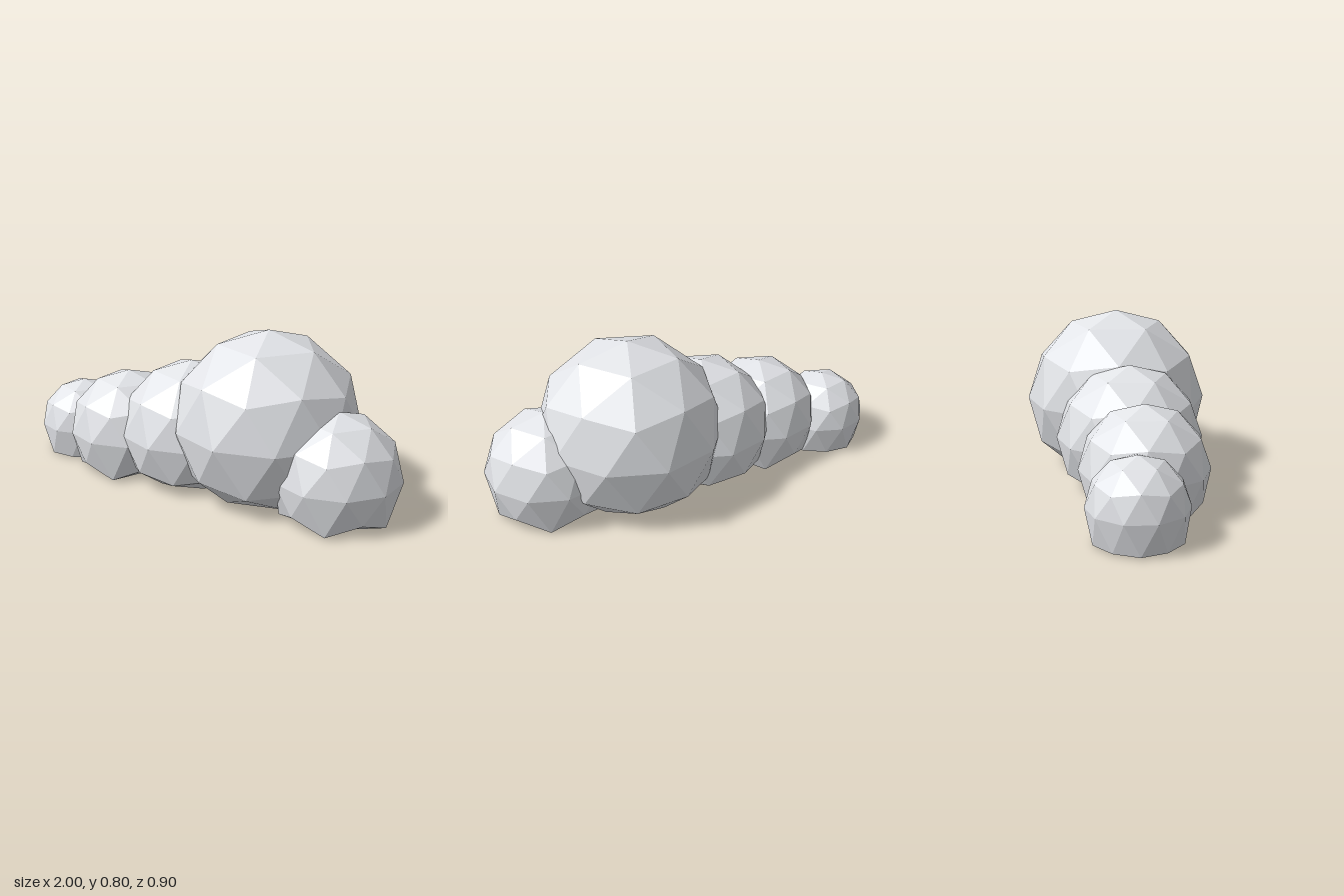
import * as THREE from 'three';

// Faceted ball standing on a vertex, with its underside pressed flat
function puffGeometry(radius, centreY) {
  const geometry = new THREE.IcosahedronGeometry(radius, 1);
  geometry.rotateZ(-Math.atan(2 / (1 + Math.sqrt(5))));
  geometry.translate(0, centreY, 0);
  const p = geometry.attributes.position;
  for (let i = 0; i < p.count; i++) {
    const y = p.getY(i);
    if (y < 0.05) p.setY(i, 0.005 + 0.05 * y);
  }
  geometry.computeVertexNormals();
  return geometry;
}

export function createModel() {
  const cloud = new THREE.Group();
  cloud.name = 'cloud';

  const cloudGrey = new THREE.MeshStandardMaterial({ color: 0xe4e6ea });
  cloudGrey.name = 'cloudGrey';
  cloudGrey.flatShading = true;

  // Overlapping puffs: name, x, centre height, z, radius
  const puffs = [
    ['tailPuff', -0.785, 0.15, 0.05, 0.225],
    ['smallPuff', -0.435, 0.2, 0.1, 0.3],
    ['middlePuff', -0.085, 0.25, 0.05, 0.35],
    ['largePuff', 0.315, 0.35, 0, 0.45],
    ['endPuff', 0.715, 0.2, 0.05, 0.3],
  ];
  for (const [name, x, y, z, radius] of puffs) {
    const puff = new THREE.Mesh(puffGeometry(radius, y), cloudGrey);
    puff.name = name;
    puff.position.set(x, 0, z);
    cloud.add(puff);
  }
  return cloud;
}
